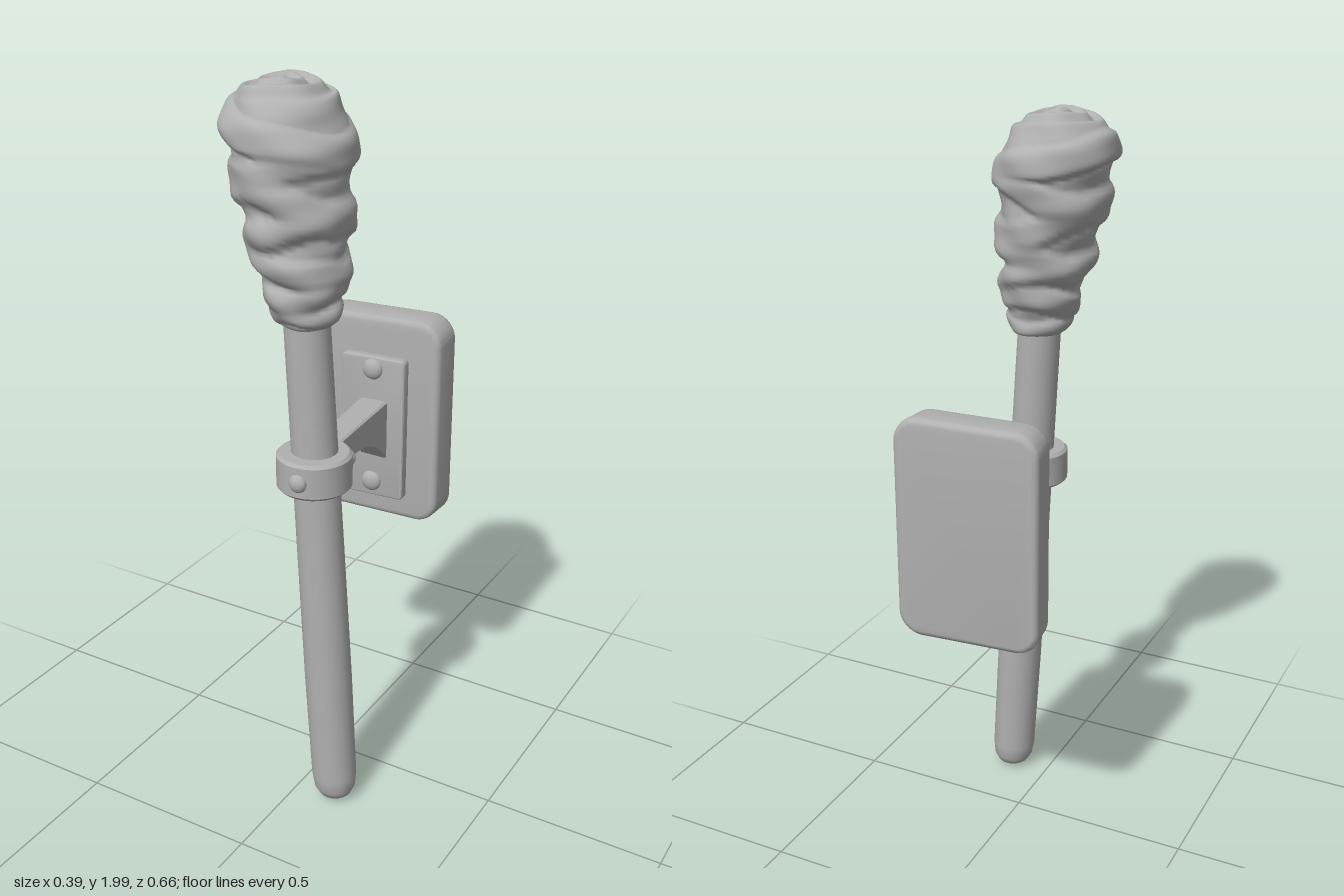
import * as THREE from 'three';
import { mergeVertices, toCreasedNormals } from 'three/addons/utils/BufferGeometryUtils.js';

const V2 = (x, y) => new THREE.Vector2(x, y);

// Move every vertex of a geometry by a rule
function warp(geo, rule) {
  const p = geo.attributes.position, v = new THREE.Vector3();
  for (let i = 0; i < p.count; i++) {
    rule(v.fromBufferAttribute(p, i));
    p.setXYZ(i, v.x, v.y, v.z);
  }
  return geo;
}

// Drop uv and normals, weld the seam and shade smoothly
function smooth(geo) {
  geo.deleteAttribute('uv');
  geo.deleteAttribute('normal');
  const g = mergeVertices(geo, 1e-5);
  g.computeVertexNormals();
  return g;
}

// Rounded slab lying in xy, from z = 0 to z = depth
function slab(w, h, depth, radius, bevel) {
  const x = w / 2 - bevel, y = h / 2 - bevel, r = Math.max(radius - bevel, 0.002);
  const s = new THREE.Shape();
  s.absarc(x - r, y - r, r, 0, Math.PI / 2);
  s.absarc(-x + r, y - r, r, Math.PI / 2, Math.PI);
  s.absarc(-x + r, -y + r, r, Math.PI, Math.PI * 1.5);
  s.absarc(x - r, -y + r, r, Math.PI * 1.5, Math.PI * 2);
  const g = new THREE.ExtrudeGeometry(s, {
    depth: depth - 2 * bevel, bevelThickness: bevel, bevelSize: bevel, bevelSegments: 3, curveSegments: 6,
  });
  return g.translate(0, 0, bevel);
}

export function createModel() {
  const model = new THREE.Group();
  const grey = new THREE.MeshStandardMaterial({ color: 0xb0b0b0 });
  grey.name = 'plain grey';
  const add = (name, geo, parent = model) => {
    const m = new THREE.Mesh(geo, grey);
    m.name = name;
    parent.add(m);
    return m;
  };
  const rivet = (name, x, y, z, r, parent) => {
    const m = add(name, new THREE.SphereGeometry(r, 14, 10), parent);
    m.position.set(x, y, z);
    return m;
  };

  // Leaning wooden shaft with a rounded foot
  const shaftProfile = [[0, 0.01], [0.025, 0.014], [0.045, 0.028], [0.057, 0.05], [0.062, 0.09],
    [0.064, 0.4], [0.062, 0.8], [0.06, 1.1], [0.058, 1.5]].map(([r, y]) => V2(r, y));
  add('shaft', smooth(warp(new THREE.LatheGeometry(shaftProfile, 24), v => {
    v.x += 0.114 - 0.06 * v.y;
    v.z += 0.192 - 0.003 * v.y;
  })));

  // Cloth head: a flared profile raised by overlapping slanted wraps
  const core = new THREE.SplineCurve([[0.055, 1.405], [0.072, 1.42], [0.092, 1.5], [0.113, 1.6], [0.132, 1.72],
    [0.143, 1.83], [0.14, 1.89], [0.122, 1.945], [0.09, 1.972], [0.045, 1.982], [0.0, 1.985]].map(([r, y]) => V2(r, y)));
  // centre height, half width, slant, direction, thickness
  const wraps = [[1.435, 0.025, 0.012, 0.5, 0.014], [1.5, 0.035, 0.02, 2.6, 0.016], [1.575, 0.035, 0.03, 4.4, 0.018],
    [1.64, 0.04, 0.045, 1.2, 0.017], [1.72, 0.045, 0.05, 5.2, 0.016], [1.79, 0.04, 0.05, 1.7, 0.016],
    [1.87, 0.042, 0.035, 4.7, 0.019]];
  const head = new THREE.LatheGeometry(core.getPoints(110), 72);
  add('clothHead', smooth(warp(head, v => {
    const r = Math.hypot(v.x, v.z), a = Math.atan2(v.x, v.z), y = v.y;
    let lift = 0;
    for (const [c, w, slant, dir, t] of wraps) {
      const d = (y - c - slant * Math.cos(a - dir) - 0.006 * Math.sin(3 * a + dir * 4)) / w;
      if (Math.abs(d) < 1) lift = Math.max(lift, t * Math.pow(1 - d * d, 0.45) * (1 - 0.2 * d));
    }
    const crease = 0.003 * Math.sin(5 * a + 40 * y) + 0.0025 * Math.sin(2 * a - 75 * y);
    const k = r > 0.001 ? (r + (lift + crease) * Math.min(1, r / 0.09)) / r : 1;
    // spiral folds on the crown
    const crown = THREE.MathUtils.smoothstep(y, 1.93, 1.975);
    const fade = Math.min(1, r / 0.02);
    v.y += crown * (0.008 * Math.sin(r * 150 + a) * fade + 0.005 * Math.sin(2 * a + 1) * fade);
    v.x = v.x * k + 0.03 - 0.125 * (y - 1.42);
    v.z = v.z * k + 0.187 - 0.04 * (y - 1.42);
  })));

  // Iron ring holding the shaft
  const ringProfile = [[0.056, 0.972], [0.09, 0.972], [0.098, 0.98], [0.098, 1.062], [0.09, 1.07], [0.056, 1.07], [0.056, 0.972]];
  const ring = toCreasedNormals(new THREE.LatheGeometry(ringProfile.map(([r, y]) => V2(r, y)), 28), 0.6);
  add('ring', ring).position.set(0.051, 0, 0.193);
  rivet('ringFrontRivet', 0.06, 1.02, 0.288, 0.025).scale.z = 0.7;
  for (const s of [-1, 1]) rivet('ringBackRivet', 0.04 + s * 0.052, 1.022, 0.1, 0.024);

  // Bracket arm, flaring down towards the wall
  const side = new THREE.Shape();
  side.moveTo(-0.2, 1.062);
  side.lineTo(-0.2, 0.885);
  side.bezierCurveTo(-0.14, 0.95, -0.09, 0.985, 0.0, 0.992);
  side.lineTo(0.11, 0.992);
  side.lineTo(0.11, 1.058);
  side.closePath();
  const arm = new THREE.ExtrudeGeometry(side, {
    depth: 0.064, bevelThickness: 0.005, bevelSize: 0.004, bevelSegments: 1, curveSegments: 10,
  });
  arm.translate(0, 0, -0.032).rotateY(-Math.PI / 2);
  warp(arm, v => {
    const t = (v.z + 0.2) / 0.3;
    v.x = v.x * (1.12 - 0.15 * t) + 0.012 + 0.026 * t;
  });
  add('arm', toCreasedNormals(arm, 0.5));

  // Wall mount, turned slightly
  const mount = new THREE.Group();
  mount.name = 'wallMount';
  mount.position.set(0, 1, -0.265);
  mount.rotation.y = 0.062;
  model.add(mount);

  // Worn wooden back board
  const board = slab(0.39, 0.6, 0.105, 0.065, 0.016).translate(0, 0, -0.052);
  warp(board, v => {
    const front = v.z > 0 ? 1 : 0;
    v.x *= 1 - 0.025 * front + 0.008 * Math.sin(v.y * 14);
    v.y *= 1 - 0.01 * front + 0.006 * Math.sin(v.x * 17);
  });
  add('backBoard', toCreasedNormals(board, 0.7), mount);

  // Metal plate and its rivets
  const plate = slab(0.19, 0.42, 0.034, 0.012, 0.007).translate(0.004, -0.02, 0.047);
  add('metalPlate', toCreasedNormals(plate, 0.4), mount);
  for (const y of [0.155, -0.185]) rivet('plateRivet', 0.004, y, 0.08, 0.03, mount).scale.z = 0.55;

  return model;
}
